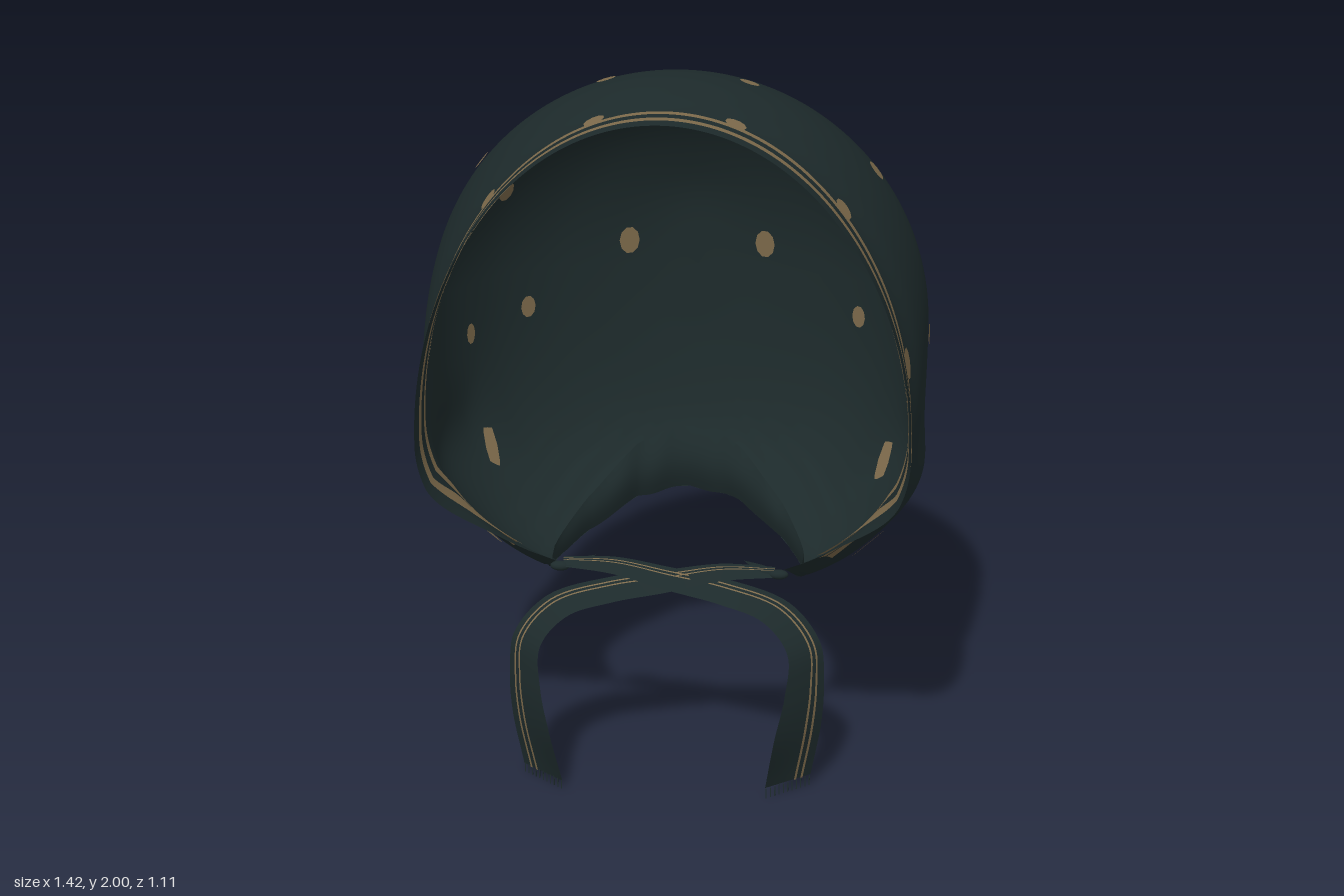
import * as THREE from 'three';

const cloth = new THREE.MeshStandardMaterial({ name: 'dark green cloth', color: 0x1d2a2b, side: THREE.DoubleSide });
const tan = new THREE.MeshStandardMaterial({ name: 'tan print', color: 0x7d6a4b, side: THREE.DoubleSide });

// Cross-sections from back to front: z, widest height, half width, top, bottom, squareness of lower half
const SECTIONS = [
  [-0.555, 1.25, 0, 1.25, 1.25, 2.1],
  [-0.545, 1.25, 0.14, 1.45, 1.01, 2.1],
  [-0.50, 1.25, 0.295, 1.59, 0.78, 2.2],
  [-0.42, 1.26, 0.45, 1.73, 0.66, 2.4],
  [-0.30, 1.27, 0.575, 1.855, 0.60, 2.7],
  [-0.15, 1.28, 0.66, 1.94, 0.51, 3.0],
  [0.00, 1.28, 0.702, 1.985, 0.47, 3.1],
  [0.15, 1.25, 0.702, 2.0, 0.49, 2.8],
  [0.30, 1.18, 0.69, 1.99, 0.575, 2.3],
  [0.42, 1.10, 0.665, 1.975, 0.60, 2],
  [0.55, 1.06, 0.67, 1.97, 0.61, 2],
];
// Where the cloth ends, as [angle from straight down, section index]
const EDGE = [[0, 3.85], [0.16, 4.2], [0.3, 5.1], [0.38, 6.3], [0.44, 8.1], [0.6, 8.6], [0.93, 9.3], [1.15, 9.75], [1.28, 10], [Math.PI, 10]];
const KNOT_ANGLE = 0.44;

function section(t) {
  const n = SECTIONS.length - 1;
  const i = Math.min(Math.floor(t), n - 1), f = t - i;
  const row = k => SECTIONS[Math.max(0, Math.min(n, k))];
  return row(i).map((p1, c) => {
    const p0 = row(i - 1)[c], p2 = row(i + 1)[c], p3 = row(i + 2)[c];
    return 0.5 * (2 * p1 + (p2 - p0) * f + (2 * p0 - 5 * p1 + 4 * p2 - p3) * f * f + (3 * p1 - p0 - 3 * p2 + p3) * f ** 3);
  });
}

function edgeAt(b) {
  const a = Math.abs(b);
  let k = 0;
  while (k < EDGE.length - 2 && a > EDGE[k + 1][0]) k++;
  const [a0, t0] = EDGE[k], [a1, t1] = EDGE[k + 1];
  return t0 + (t1 - t0) * Math.min(1, (a - a0) / (a1 - a0));
}

// Point on the bonnet: b is the angle from straight down (-PI..PI), t the section index
function shellPoint(b, t) {
  const [z, cy, w, top, bottom, sq] = section(t);
  const s = Math.sin(b), c = Math.cos(b);
  const e = c > 0 ? 2 / sq : 1;
  const gather = 1 + 0.008 * Math.sin(b * 42) * Math.max(0, 1 - Math.abs(b) / 0.9) * Math.max(0, 1 - Math.abs(t - 4) / 2);
  const x = w * Math.sign(s) * Math.abs(s) ** e;
  const y = c > 0 ? cy - (cy - bottom) * c ** e : cy - (top - cy) * c;
  // Jaw bulge, stepping in behind the ear fold
  const bulge = 1 + 0.055 * Math.exp(-(((y - 0.82) / 0.14) ** 2))
    * THREE.MathUtils.smoothstep(t, 4.4, 5) * (1 - THREE.MathUtils.smoothstep(t, 7.2, 9));
  return new THREE.Vector3(x * gather * bulge, cy + (y - cy) * gather, z);
}

function shellNormal(b, t) {
  const h = 0.02, t1 = Math.min(10, t + h);
  const du = shellPoint(b + h, t).sub(shellPoint(b - h, t));
  const dv = shellPoint(b, t1).sub(shellPoint(b, t1 - 2 * h));
  const n = du.cross(dv).normalize();
  const out = shellPoint(b, t).sub(new THREE.Vector3(0, 1.2, 0));
  return n.dot(out) < 0 ? n.negate() : n;
}

// Smooth grid surface from a point function of (u, v) in 0..1
function surface(nu, nv, fn, wrap = false) {
  const pos = [], index = [], cols = wrap ? nu : nu + 1;
  for (let j = 0; j <= nv; j++)
    for (let i = 0; i < cols; i++) pos.push(...fn(i / nu, j / nv).toArray());
  for (let j = 0; j < nv; j++)
    for (let i = 0; i < nu; i++) {
      const a = j * cols + i, b = j * cols + (i + 1) % cols;
      index.push(a, b, b + cols, a, b + cols, a + cols);
    }
  const g = new THREE.BufferGeometry();
  g.setAttribute('position', new THREE.Float32BufferAttribute(pos, 3));
  g.setIndex(index);
  g.computeVertexNormals();
  return g;
}

export function createModel() {
  const model = new THREE.Group();
  model.name = 'bonnet';
  const add = (name, geometry, material) => {
    const m = new THREE.Mesh(geometry, material);
    m.name = name;
    model.add(m);
    return m;
  };

  // Hood
  add('hood', surface(240, 60, (u, v) => {
    const b = (u * 2 - 1) * Math.PI;
    return shellPoint(b, v * edgeAt(b));
  }, true), cloth);

  // Nape lip turned up inside the neck opening
  add('napeLip', surface(60, 6, (u, v) => {
    const b = (u * 2 - 1) * KNOT_ANGLE;
    const k = 1 - (b / KNOT_ANGLE) ** 2;
    const p = shellPoint(b, edgeAt(b));
    p.y += 0.19 * k * v;
    p.z += k * (0.03 * Math.sin(v * Math.PI) - 0.02 * v) + 0.004 * k * v * Math.sin(b * 60);
    return p;
  }), cloth);

  // Printed stripes along the front rim, outside and inside, wider below the cheek corner
  for (const [d0, d1] of [[0.34, 0.53], [0.74, 0.9]])
    for (const off of [0.004, -0.004])
      add('rimStripe', surface(160, 2, (u, v) => {
        const b0 = 0.62, b = Math.PI + (u * 2 - 1) * (Math.PI - b0);
        const a = b > Math.PI ? b - 2 * Math.PI : b;
        const widen = 1.8 - 0.8 * THREE.MathUtils.smoothstep(Math.abs(a), 1, 1.25);
        const t = edgeAt(a) - d0 - (d1 - d0) * v * widen;
        return shellPoint(a, t).addScaledVector(shellNormal(a, t), off);
      }), tan);

  // Printed dots: x, y, z, radius, stretch in height
  const dots = [
    [0.2, 1.82, -0.3, 0.029, 1.1], [0.55, 1.55, -0.26, 0.028, 1.2], [0.2, 1.98, 0.08, 0.028, 1],
    [0.55, 1.745, 0.08, 0.028, 1.1], [0.21, 1.33, -0.525, 0.031, 1.4], [0.48, 1.15, -0.35, 0.026, 1.3],
    [0.7, 1.28, 0.125, 0.025, 1.3], [0.58, 0.63, 0.16, 0.02, 3.8], [0.18, 1.93, 0.425, 0.03, 1],
    [0.49, 1.74, 0.425, 0.032, 1], [0.64, 1.3, 0.425, 0.032, 1.4],
    [0.67, 1.12, -0.2, 0.02, 1.6], [0.6, 0.76, -0.21, 0.02, 4.2],
  ];
  for (const [x, y, z, r, stretch] of dots) {
    const target = new THREE.Vector3(x, y, z);
    let best = Infinity, bb = 0, bt = 0;
    for (let b = 0.1; b < Math.PI; b += 0.02)
      for (let t = 0.5; t < edgeAt(b); t += 0.1) {
        const d = shellPoint(b, t).distanceTo(target);
        if (d < best) [best, bb, bt] = [d, b, t];
      }
    for (const side of [1, -1])
      for (const off of [0.005, -0.005]) {
        const n = shellNormal(bb * side, bt);
        const dot = add('printedDot', new THREE.CircleGeometry(r, 10), tan);
        dot.position.copy(shellPoint(bb * side, bt)).addScaledVector(n, off);
        dot.lookAt(dot.position.clone().add(n));
        dot.scale.y = stretch;
      }
  }

  // Crossing ties: centre line and half-width vector at each step
  const centre = new THREE.CatmullRomCurve3([
    [-0.30, 0.635, 0.335], [-0.15, 0.637, 0.355], [0, 0.613, 0.375], [0.16, 0.588, 0.395], [0.31, 0.54, 0.415],
    [0.39, 0.45, 0.45], [0.395, 0.34, 0.475], [0.38, 0.21, 0.485], [0.352, 0.03, 0.452],
  ].map(p => new THREE.Vector3(...p)));
  const halfWidth = new THREE.CatmullRomCurve3([
    [0, 0.012, -0.01], [0, 0.016, -0.025], [0, 0.02, -0.035], [0.01, 0.018, -0.045], [0.033, 0.01, -0.048],
    [0.042, 0.003, -0.047], [0.052, 0.003, -0.058], [0.063, 0, -0.068], [0.062, 0, -0.047],
  ].map(p => new THREE.Vector3(...p)));
  const tiePoint = (u, w, off, side) => {
    const p = centre.getPoint(u), h = halfWidth.getPoint(u);
    const n = centre.getTangent(u).cross(h).normalize();
    p.addScaledVector(h, w).addScaledVector(n, off);
    p.y += side * 0.004;
    p.x *= side;
    return p;
  };
  for (const side of [1, -1]) {
    add('tie', surface(60, 4, (u, v) => tiePoint(u, v * 2 - 1, 0, side)), cloth);
    for (const [w0, w1] of [[0.24, 0.34], [0.52, 0.62]])
      for (const off of [0.003, -0.003])
        add('tieStripe', surface(60, 1, (u, v) => tiePoint(u, w0 + (w1 - w0) * v, off, side)), tan);

    // Fringe at the tie end
    for (let i = 0; i < 11; i++) {
      const thread = add('fringe', new THREE.BoxGeometry(0.003, 0.03, 0.003), cloth);
      thread.position.copy(tiePoint(1, -0.95 + i * 0.19, 0, side)).setY(0.015);
    }

    // Knot and loose tip where the tie meets the hood
    const knot = add('knot', new THREE.SphereGeometry(0.02, 14, 10), cloth);
    knot.position.set(side * 0.31, 0.625, 0.335);
    knot.scale.set(1.4, 0.7, 0.8);
    add('knotTip', surface(10, 2, (u, v) => new THREE.Vector3(
      side * (0.31 - 0.1 * u), 0.63 + 0.02 * u * u, 0.335 - 0.03 * u + (v - 0.5) * 0.05 * Math.sin(Math.PI * (0.15 + 0.85 * u)),
    )), cloth);
  }
  return model;
}
